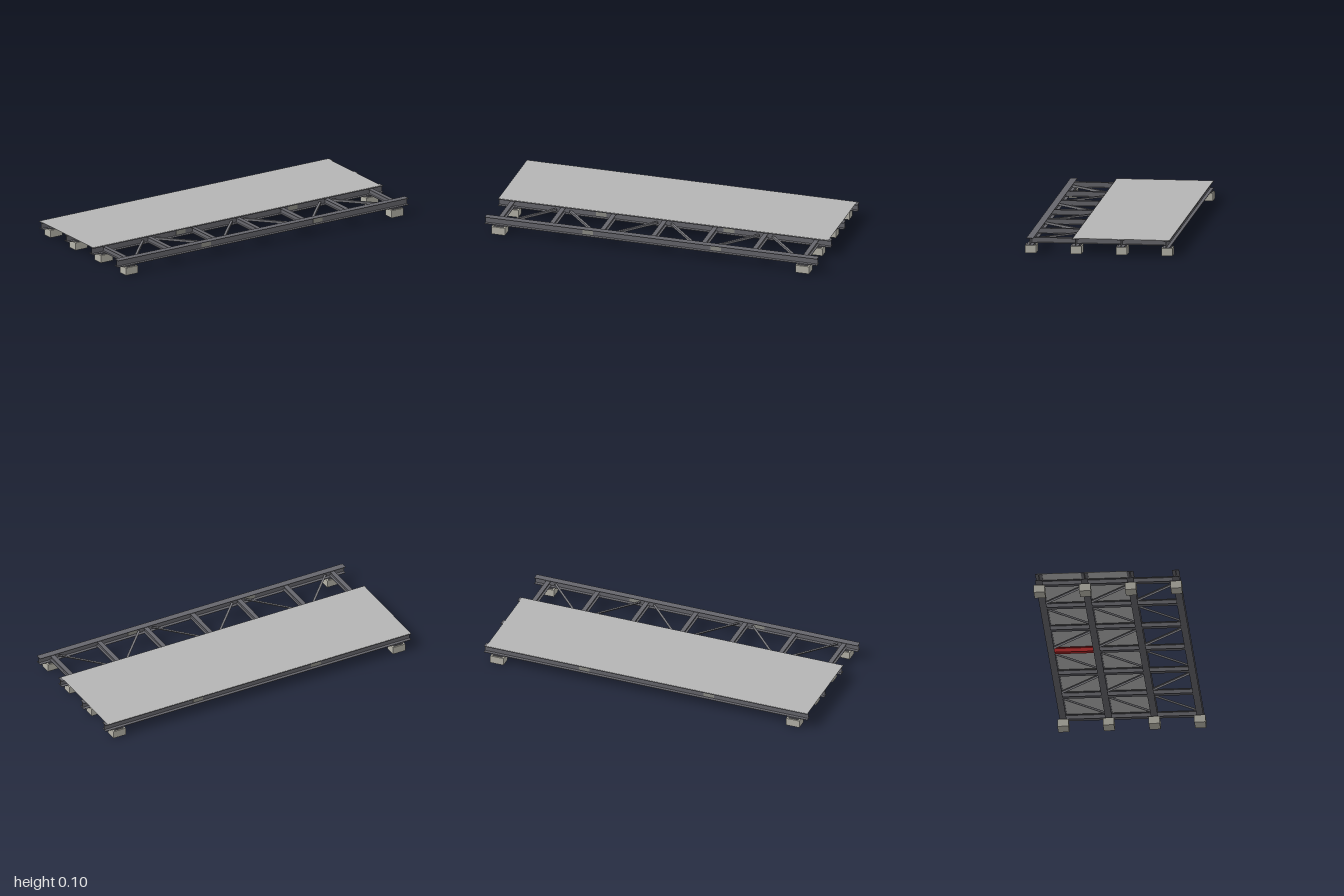
import * as THREE from 'three';

const mat = (color) => new THREE.MeshStandardMaterial({ color });
const steel = mat(0x66666c), brace = mat(0x77777c), plate = mat(0x8f8f88);
const concrete = mat(0xb5b3a9), deckGrey = mat(0xb4b4b4), red = mat(0xb02a2a);

function box(parent, name, material, size, pos) {
  const mesh = new THREE.Mesh(new THREE.BoxGeometry(...size), material);
  mesh.name = name;
  mesh.position.set(...pos);
  parent.add(mesh);
  return mesh;
}

// I-section swept along x, centred on the origin
function iBeam(name, length, width, height, flange, web, material) {
  const w = width / 2, h = height / 2, t = web / 2, f = h - flange;
  const shape = new THREE.Shape([
    [-w, -h], [w, -h], [w, -f], [t, -f], [t, f], [w, f],
    [w, h], [-w, h], [-w, f], [-t, f], [-t, -f], [-w, -f],
  ].map(([x, y]) => new THREE.Vector2(x, y)));
  const geometry = new THREE.ExtrudeGeometry(shape, { depth: length, bevelEnabled: false });
  geometry.translate(0, 0, -length / 2).rotateY(Math.PI / 2);
  const mesh = new THREE.Mesh(geometry, material);
  mesh.name = name;
  return mesh;
}

export function createModel() {
  const model = new THREE.Group();
  model.name = 'girderBridge';
  const girderZ = [0.395, 0.132, -0.132, -0.395];
  const crossX = [-0.915, -0.61, -0.305, 0, 0.305, 0.61, 0.915];
  const midY = 0.0735;

  // Main girders with splice plates, bearings and pedestals
  for (const z of girderZ) {
    const girder = iBeam('mainGirder', 2, 0.04, 0.042, 0.003, 0.003, steel);
    girder.position.set(0, midY, z);
    model.add(girder);
    for (const s of [-1, 1]) {
      for (const side of [-1, 1])
        box(model, 'splicePlate', plate, [0.064, 0.027, 0.002], [s * 0.385, midY, z + side * 0.0025]);
      box(model, 'pedestal', concrete, [0.082, 0.045, 0.064], [s * 0.915, 0.0225, z]);
      box(model, 'bearingPad', steel, [0.06, 0.004, 0.05], [s * 0.915, 0.047, z]);
      box(model, 'solePlate', steel, [0.05, 0.0035, 0.04], [s * 0.915, 0.0508, z]);
    }
  }

  // Cross beams and alternating diagonal bracing in every bay
  for (let bay = 0; bay < 3; bay++) {
    const z0 = girderZ[bay], z1 = girderZ[bay + 1], zMid = (z0 + z1) / 2;
    crossX.forEach((x, i) => {
      const marked = bay === 2 && i === 3;
      const beam = iBeam('crossBeam', z0 - z1 - 0.004, 0.027, 0.032, 0.003, 0.003, marked ? red : steel);
      beam.rotation.y = Math.PI / 2;
      beam.position.set(x, 0.072, zMid);
      model.add(beam);
      if (i === crossX.length - 1) return;
      const slope = i % 2 ? 1 : -1;
      const dx = 0.22, dz = slope * 0.242;
      const diagonal = new THREE.Group();
      diagonal.name = 'diagonalBrace';
      const length = Math.hypot(dx, dz);
      box(diagonal, 'braceFlange', brace, [length, 0.002, 0.013], [0, 0.006, 0]);
      box(diagonal, 'braceLeg', brace, [length, 0.012, 0.002], [0, 0, 0.0055]);
      diagonal.position.set((x + crossX[i + 1]) / 2, 0.07, zMid);
      diagonal.rotation.y = -Math.atan2(dz, dx);
      model.add(diagonal);
    });
  }

  // Deck sheet covering the two rear bays
  box(model, 'deck', deckGrey, [1.986, 0.002, 0.562], [-0.007, 0.0957, -0.133]);
  return model;
}
